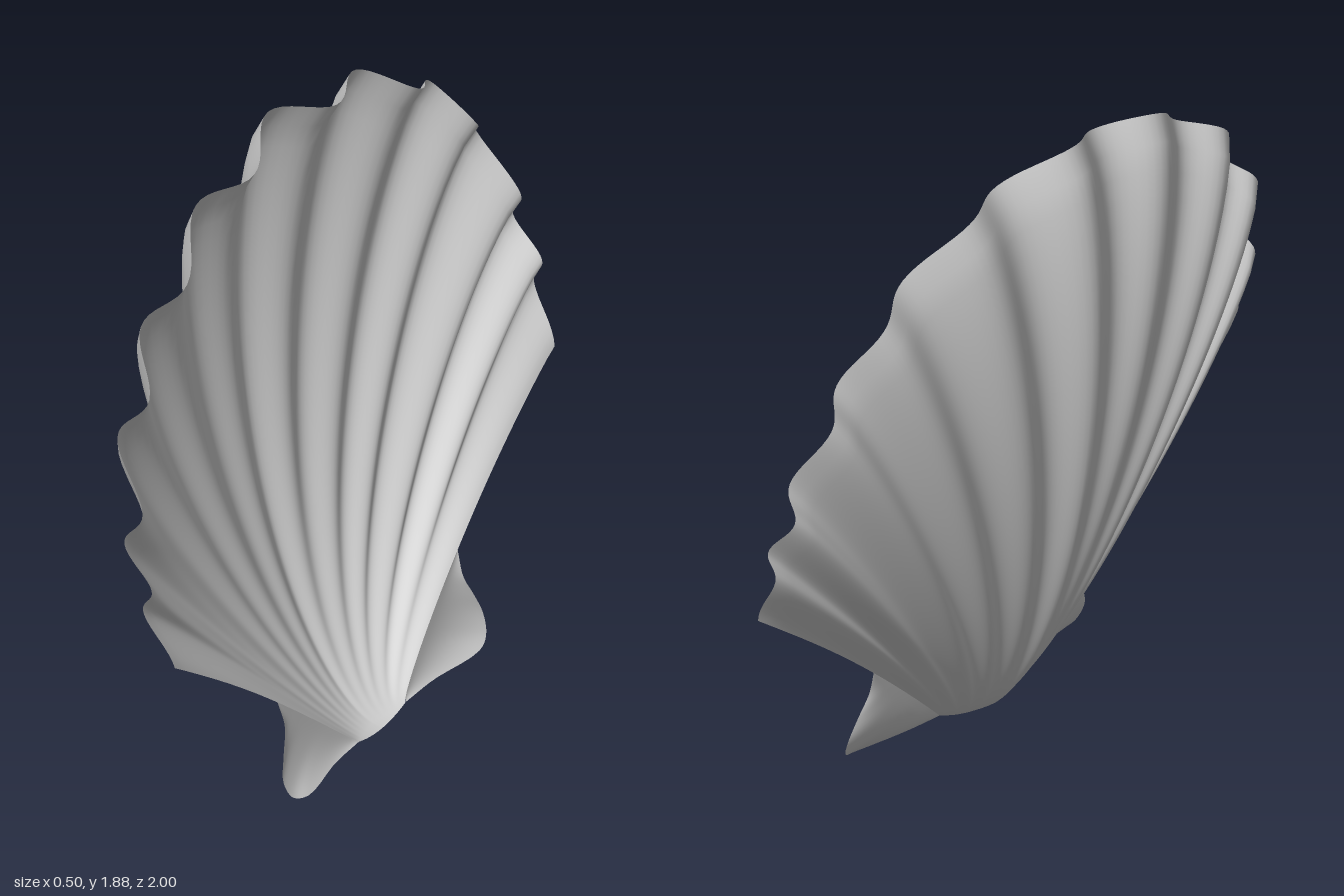
import * as THREE from 'three';

const V = (x, y, z) => new THREE.Vector3(x, y, z);
const HALF = 11; // half-ribs on each side: even = ridge, odd = groove

// Rim from the middle to one side: mean depth, height, width
const rimSide = [
  [-0.115, 1.87, 0], [-0.115, 1.83, 0.21], [-0.09, 1.795, 0.41], [-0.09, 1.685, 0.59],
  [-0.06, 1.59, 0.74], [-0.055, 1.45, 0.835], [-0.025, 1.34, 0.92], [0.01, 1.17, 0.965],
  [0.04, 1.06, 0.993], [0.065, 0.95, 0.997], [0.1, 0.86, 0.997], [0.13, 0.7, 0.97],
];
const rim = new THREE.CatmullRomCurve3([
  ...rimSide.slice(1).reverse().map(([x, y, z]) => V(x, y, -z)),
  ...rimSide.map((p) => V(...p)),
], false, 'catmullrom', 0.5);

// Point on the ribbed shell: s = -1..1 across the fan, t = 0..1 from hinge to rim
function shellPoint(s, t) {
  const hinge = V(0.212, 0.02 * s * s, 0.12 * s);
  const p = hinge.lerp(rim.getPoint((s + 1) / 2), t);
  const bulge = 0.025 + 0.233 * (1 - Math.abs(s) ** 1.3);
  p.x -= bulge * Math.sqrt(t) * Math.pow(1 - t, 0.75) / 0.431;
  const wave = Math.cos(s * HALF * Math.PI);
  p.x -= (0.045 - 0.02 * s * s) * t * wave;
  p.y += 0.01 * wave * t * t * (1 - s * s); // lobed rim
  p.y += 0.025 * Math.sin(Math.PI * t) * s ** 4; // hollowed side edges
  return p;
}

// Smooth surface from a grid of points fn(u, v), u and v in 0..1
function gridSurface(name, nu, nv, fn) {
  const pos = [], index = [];
  for (let i = 0; i <= nu; i++) {
    for (let j = 0; j <= nv; j++) {
      pos.push(...fn(i / nu, j / nv).toArray());
      if (i < nu && j < nv) {
        const a = i * (nv + 1) + j, b = a + nv + 1;
        index.push(a, a + 1, b, b, a + 1, b + 1);
      }
    }
  }
  const geo = new THREE.BufferGeometry();
  geo.setAttribute('position', new THREE.Float32BufferAttribute(pos, 3));
  geo.setIndex(index);
  geo.computeVertexNormals();
  const mat = new THREE.MeshStandardMaterial({ color: 0xcccccc, side: THREE.DoubleSide });
  const mesh = new THREE.Mesh(geo, mat);
  mesh.name = name;
  return mesh;
}

// Flared ear beside the hinge, ruled between the shell edge and its own outline
function ear(name, side) {
  const tEnd = 0.4;
  const outline = new THREE.CatmullRomCurve3([
    shellPoint(1, 0), V(0.22, 0.025, 0.25), V(0.25, 0.03, 0.44), V(0.235, 0.05, 0.495),
    V(0.215, 0.1, 0.51), V(0.2, 0.17, 0.485), V(0.185, 0.24, 0.455), shellPoint(1, tEnd),
  ]);
  return gridSurface(name, 32, 10, (u, v) => {
    const inner = shellPoint(1, u * tEnd), outer = outline.getPoint(u);
    const p = inner.clone().lerp(outer, v);
    p.x = inner.x + (outer.x - inner.x) * v * v;
    p.z *= side;
    return p;
  });
}

export function createModel() {
  const group = new THREE.Group();
  group.name = 'scallopShell';
  // Ribbed fan, rows packed closer near the hinge
  group.add(gridSurface('ribbedFan', HALF * 2 * 8, 40, (u, v) => shellPoint(u * 2 - 1, v ** 1.6)));
  group.add(ear('leftEar', 1), ear('rightEar', -1));
  return group;
}
